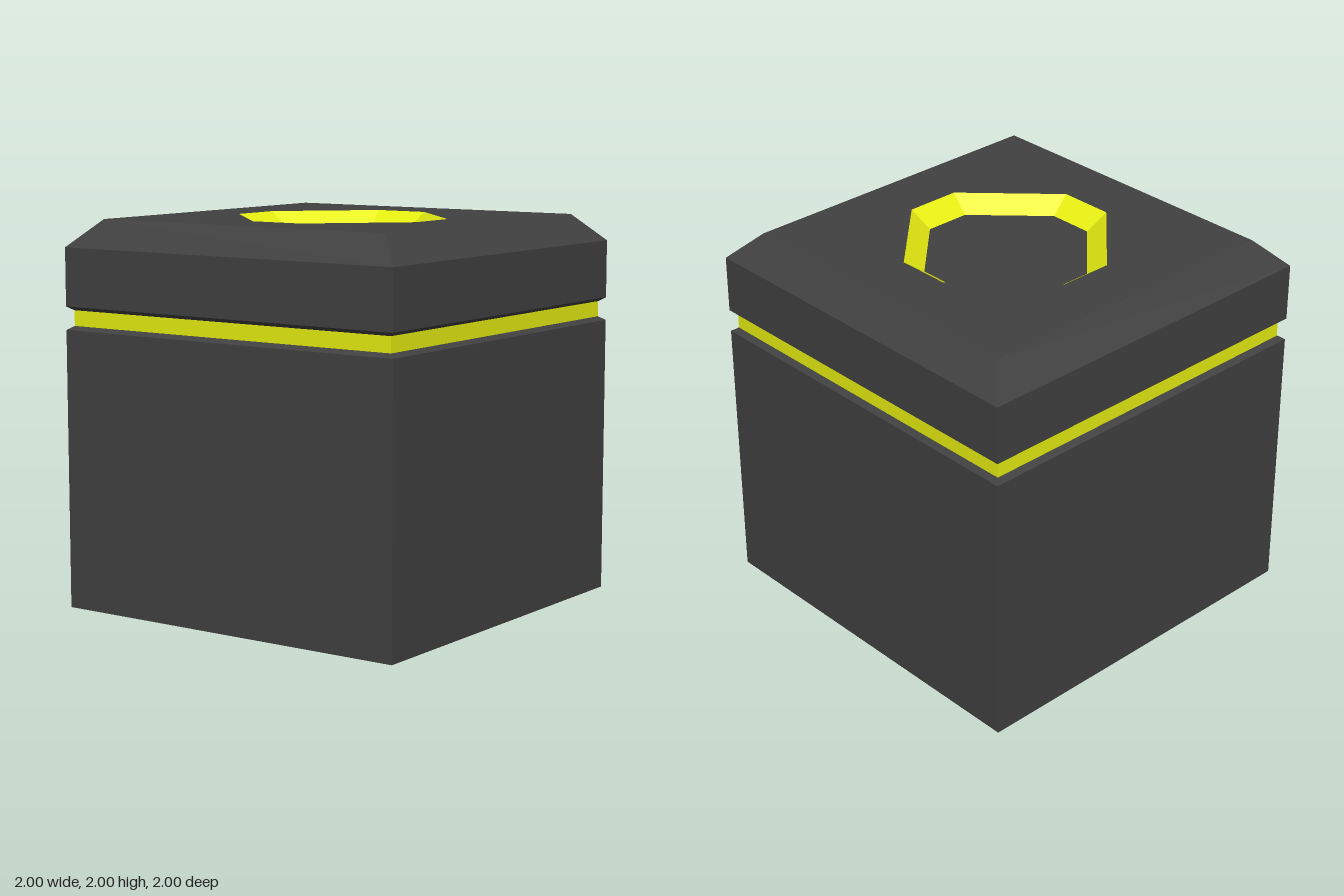
import * as THREE from 'three';

const dark = new THREE.MeshStandardMaterial({ color: 0x404040, flatShading: true });
const yellow = new THREE.MeshStandardMaterial({ color: 0xe6ee10, flatShading: true });

// Corner loops as [x, z]
const square = (h) => [[h, -h], [h, h], [-h, h], [-h, -h]];
const octagon = (a, b) => [[a, -b], [a, b], [b, a], [-b, a], [-a, b], [-a, -b], [-b, -a], [b, -a]];

// Flat-sided walls through a stack of sections [loop, y]; faces outward going up, inward going down
function loft(sections) {
  const pos = [];
  for (let s = 0; s < sections.length - 1; s++) {
    const [lo, y0] = sections[s], [hi, y1] = sections[s + 1];
    lo.forEach((p, i) => {
      const j = (i + 1) % lo.length;
      const a = [p[0], y0, p[1]], b = [lo[j][0], y0, lo[j][1]];
      const c = [hi[j][0], y1, hi[j][1]], d = [hi[i][0], y1, hi[i][1]];
      pos.push(...a, ...d, ...c, ...a, ...c, ...b);
    });
  }
  const g = new THREE.BufferGeometry();
  g.setAttribute('position', new THREE.Float32BufferAttribute(pos, 3));
  g.computeVertexNormals();
  return g;
}

// Horizontal face at height y, optionally with a hole
function plate(loop, y, { hole, down = false } = {}) {
  const toVec = (l) => l.map(([x, z]) => new THREE.Vector2(x, -z));
  const shape = new THREE.Shape(toVec(loop));
  if (hole) shape.holes.push(new THREE.Path(toVec(hole)));
  const g = new THREE.ShapeGeometry(shape);
  g.rotateX(down ? Math.PI / 2 : -Math.PI / 2);
  return g.translate(0, y, 0);
}

export function createModel() {
  const group = new THREE.Group();
  const add = (name, geometry, material) => {
    const mesh = new THREE.Mesh(geometry, material);
    mesh.name = name;
    group.add(mesh);
  };
  const full = square(1), inset = square(0.97), top = square(0.86);
  const rim = octagon(0.555, 0.145), floor = octagon(0.445, 0.12);

  // Lower box with a small bevel into the groove
  add('bottom', plate(full, 0, { down: true }), dark);
  add('body', loft([[full, 0], [full, 1.44], [inset, 1.46]]), dark);

  // Coloured band set into the groove
  add('grooveBand', loft([[inset, 1.46], [inset, 1.54]]), yellow);

  // Lid with bevelled lower and upper edges
  add('lid', loft([[inset, 1.54], [full, 1.56], [full, 1.86], [top, 2]]), dark);
  add('lidTop', plate(top, 2, { hole: rim }), dark);

  // Octagonal recess with sloping coloured walls
  add('recessWalls', loft([[rim, 2], [floor, 1.92]]), yellow);
  add('recessFloor', plate(floor, 1.92), dark);

  return group;
}
